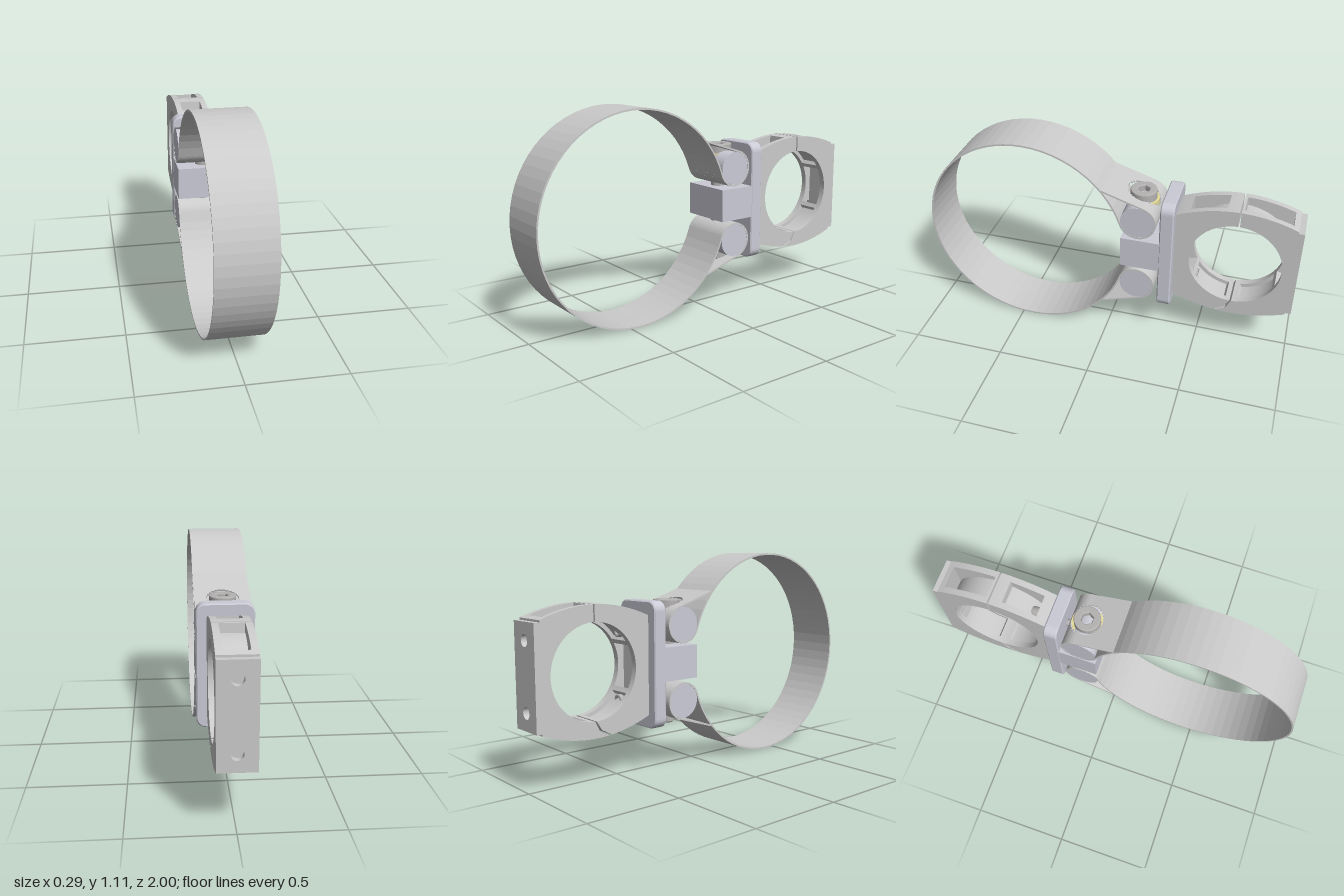
import * as THREE from 'three';

const GREY = new THREE.MeshStandardMaterial({ color: 0xcccccc });
const STEEL = new THREE.MeshStandardMaterial({ color: 0xcacbd6 });
const SCREW = new THREE.MeshStandardMaterial({ color: 0xb5b2b2 });
const BRASS = new THREE.MeshStandardMaterial({ color: 0xe6dc9a });
const MID = 0.56;                        // height of the symmetry plane
const PIN = { u: 0.17, y: 0.76, r: 0.094 };
const HALF = 0.145;                      // half width of the band
const rad = THREE.MathUtils.degToRad;

// Profiles are drawn in (u, y) with u = -z, then extruded along x
function alongX(points, x0, x1) {
  const g = new THREE.ExtrudeGeometry(new THREE.Shape(points), { depth: x1 - x0, bevelEnabled: false });
  return g.translate(0, 0, x0).rotateY(Math.PI / 2);
}

// Closed outline of a strip of thickness t along a centre line
function strip(path, t) {
  const a = [], b = [];
  path.forEach((p, i) => {
    const d = path[Math.min(i + 1, path.length - 1)].clone().sub(path[Math.max(i - 1, 0)]).normalize();
    const n = new THREE.Vector2(-d.y, d.x).multiplyScalar(t / 2);
    a.push(p.clone().add(n));
    b.unshift(p.clone().sub(n));
  });
  return [...a, ...b];
}

function arc(u, y, r, from, to, n) {
  return Array.from({ length: n + 1 }, (_, i) => {
    const a = rad(from + (to - from) * i / n);
    return new THREE.Vector2(u + r * Math.cos(a), y + r * Math.sin(a));
  });
}

const flipY = pts => pts.map(p => new THREE.Vector2(p.x, 2 * MID - p.y));

export function createModel() {
  const model = new THREE.Group();
  const add = (name, geometry, material, x = 0, y = 0, z = 0, parent = model) => {
    const m = new THREE.Mesh(geometry, material);
    m.name = name;
    m.position.set(x, y, z);
    parent.add(m);
    return m;
  };

  // Large band
  add('band', alongX(strip(arc(-0.445, MID, 0.553, 18, 342, 60), 0.009), -HALF, HALF), GREY);

  // Band ends wrapped round the pins, in slices so that a round screw hole stays open
  const slope = u => 0.849 + (0.199 - u) * 0.321;
  const HOLE = 0.085, N = 14;
  const slices = [[-HALF, -HOLE, 0], [HOLE, HALF, 0]];
  for (let i = 0; i < N; i++) {
    const x0 = -HOLE * Math.cos(Math.PI * i / N), x1 = -HOLE * Math.cos(Math.PI * (i + 1) / N);
    slices.push([x0, x1, Math.sqrt(HOLE * HOLE - ((x0 + x1) / 2) ** 2)]);
  }
  for (const upper of [true, false]) {
    const wrap = new THREE.Group();
    wrap.name = upper ? 'upperBandLoop' : 'lowerBandLoop';
    model.add(wrap);
    for (const [x0, x1, h] of slices) {
      const end = Math.min(72, THREE.MathUtils.radToDeg(Math.acos(h / PIN.r)));
      const loop = arc(PIN.u, PIN.y, PIN.r, 198, 360 + end, 28);
      if (h < 0.029) loop.push(new THREE.Vector2(PIN.u + h, slope(PIN.u + h)));
      const tail = [PIN.u - h, -0.02].map(u => new THREE.Vector2(u, slope(u)));
      const paths = h ? [loop, tail] : [[...loop, tail[1]]];
      for (const p of paths) add('bandLoop', alongX(strip(upper ? p : flipY(p), 0.009), x0, x1), GREY, 0, 0, 0, wrap);
    }

    // Cross pin, washer and plate screw
    const y = v => (upper ? v : 2 * MID - v);
    add('pin', new THREE.CylinderGeometry(0.089, 0.089, 0.288, 48).rotateZ(Math.PI / 2), STEEL, 0, y(PIN.y), -PIN.u);
    add('washer', new THREE.CylinderGeometry(0.083, 0.083, 0.03, 40), BRASS, 0, y(0.82), -PIN.u);
    add('plateScrew', new THREE.CylinderGeometry(0.02, 0.02, 0.03, 20).rotateX(Math.PI / 2), SCREW, 0, y(0.735), -0.277);
  }

  // Clamping screw: shaft, rounded tip and socket head
  add('screwShaft', new THREE.LatheGeometry([[0, 0.228], [0.032, 0.228], [0.04, 0.237], [0.04, 0.83]]
    .map(p => new THREE.Vector2(...p)), 32), SCREW, 0, 0, -PIN.u);
  const head = new THREE.Shape().absarc(0, 0, 0.064, 0, Math.PI * 2);
  head.holes.push(new THREE.Path(arc(0, 0, 0.04, 0, 300, 5)));
  add('screwHead', new THREE.ExtrudeGeometry(head, {
    depth: 0.06, bevelSize: 0.006, bevelThickness: 0.006, bevelSegments: 2, curveSegments: 32,
  }).rotateX(-Math.PI / 2), SCREW, 0, 0.818, -PIN.u);

  // Centre block and rounded mounting plate
  add('centreBlock', new THREE.BoxGeometry(0.29, 0.175, 0.22), STEEL, 0, 0.5625, -0.193);
  const corner = (x, y, a) => arc(x, y, 0.05, a, a + 90, 8);
  const plate = new THREE.Shape([
    ...corner(0.097, 0.835, 0), ...corner(-0.097, 0.835, 90),
    ...corner(-0.097, 0.285, 180), ...corner(0.097, 0.285, 270),
  ]);
  add('mountingPlate', new THREE.ExtrudeGeometry(plate, {
    depth: 0.06, bevelSize: 0.006, bevelThickness: 0.006, bevelOffset: -0.006, bevelSegments: 1,
  }), STEEL, 0, 0, -0.354);

  // Split holder: two halves, each with side walls and a pocketed core
  const U = 0.68, WALL = 0.06, SIDE = 0.093;
  const outer = u => 0.325 - 0.07 * ((u - U) / 0.32) ** 2;
  const core = (u, top) => {
    const pocket = (u > 0.43 && u < (top ? 0.61 : 0.57)) || (u > 0.70 && u < 0.94);
    return pocket ? Math.min(outer(u), Math.sqrt(0.28 ** 2 - (u - U) ** 2)) : outer(u);
  };
  const bore = () => 0.241;
  const recess = a => {                   // inner pockets between ribs
    const d = Math.abs(a);
    if (d < 26) return 0.275 / Math.cos(rad(a));
    return d > 33 && d < 82 ? 0.262 : 0.241;
  };
  function holderHalf(s, edge, inner) {
    const end = s < 0 ? 0.36 : 0.97, pts = [], n = 70;
    const topStart = U + s * 0.004, lowStart = s < 0 ? 0.588 : 0.598;
    for (let i = 0; i <= n; i++) {
      const u = topStart + (end - topStart) * i / n;
      pts.push(new THREE.Vector2(u, MID + edge(u, true)));
    }
    for (let i = n; i >= 0; i--) {
      const u = lowStart + (end - lowStart) * i / n;
      pts.push(new THREE.Vector2(u, MID - edge(u, false)));
    }
    pts.push(new THREE.Vector2(s < 0 ? 0.645 : 0.655, s < 0 ? 0.272 : 0.264));
    for (let a = -89; a <= 89; a += 2) {
      const r = inner(a);
      pts.push(new THREE.Vector2(U + s * r * Math.cos(rad(a)), MID + r * Math.sin(rad(a))));
    }
    return pts;
  }
  for (const s of [-1, 1]) {
    const half = new THREE.Group();
    half.name = s < 0 ? 'holderFrontHalf' : 'holderBackHalf';
    model.add(half);
    const wall = holderHalf(s, outer, bore);
    add('holderSideWall', alongX(wall, WALL, SIDE), GREY, 0, 0, 0, half);
    add('holderSideWall', alongX(wall, -SIDE, -WALL), GREY, 0, 0, 0, half);
    add('holderCore', alongX(holderHalf(s, core, recess), -WALL, WALL), GREY, 0, 0, 0, half);
  }

  // Flat end face with two bolt holes
  const face = new THREE.Shape([[-SIDE, 0.303], [SIDE, 0.303], [SIDE, 0.817], [-SIDE, 0.817]]
    .map(p => new THREE.Vector2(...p)));
  for (const y of [0.39, 0.73]) face.holes.push(new THREE.Path().absarc(0, y, 0.03, 0, Math.PI * 2));
  add('holderEndFace', new THREE.ExtrudeGeometry(face, { depth: 0.03, bevelEnabled: false, curveSegments: 20 }), GREY, 0, 0, -1);

  // Hollow bolt heads inside the holder
  const bolt = [[0, 0.02], [0.015, 0.02], [0.015, 0], [0.03, 0], [0.03, 0.05]].map(p => new THREE.Vector2(...p));
  const boltMaterial = SCREW.clone();
  boltMaterial.side = THREE.DoubleSide;
  for (const y of [0.385, 0.735]) {
    add('holderBolt', new THREE.LatheGeometry(bolt, 24).rotateX(Math.PI / 2), boltMaterial, 0, y, -0.485);
  }
  return model;
}
